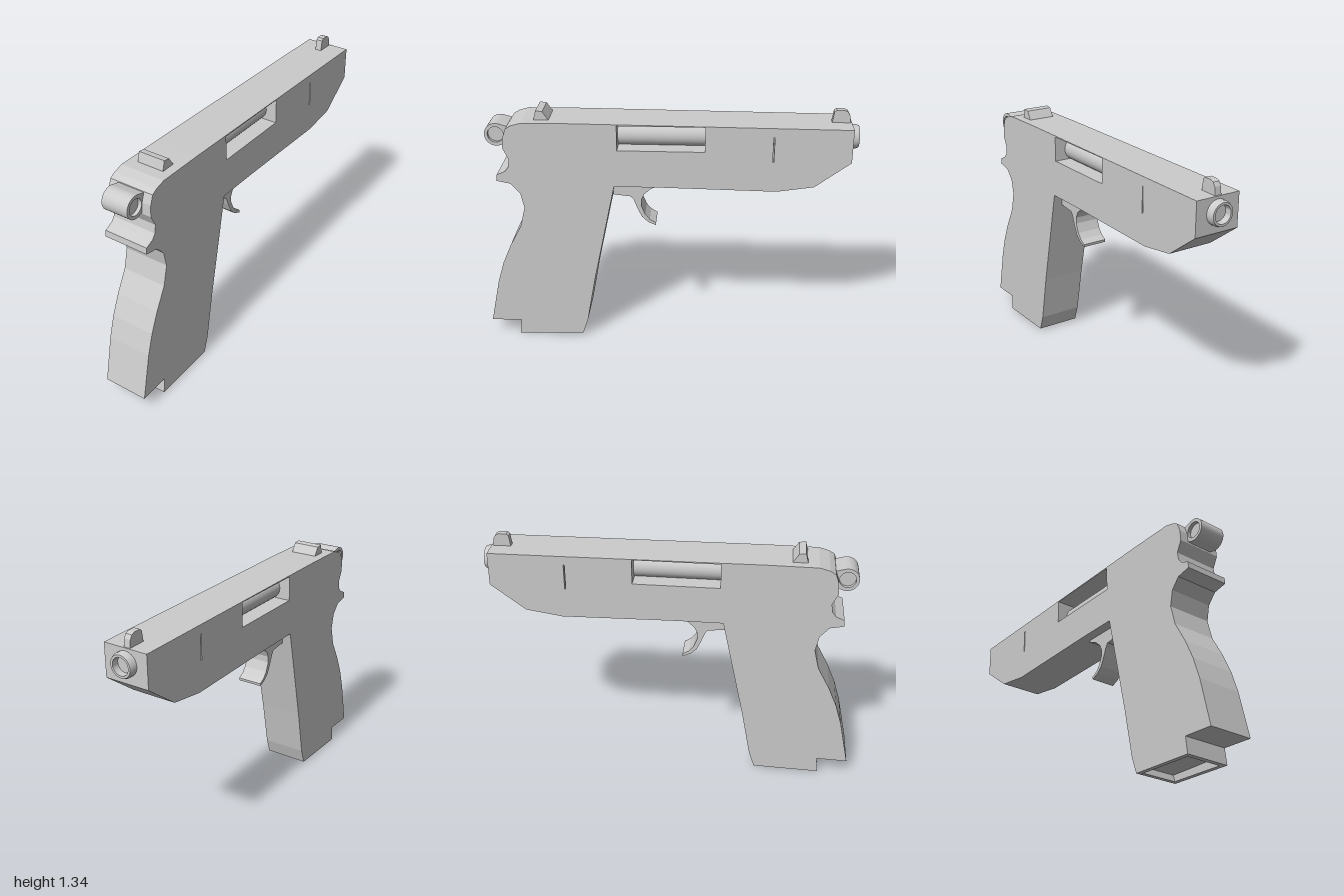
import * as THREE from 'three';
import { toCreasedNormals } from 'three/addons/utils/BufferGeometryUtils.js';

const material = new THREE.MeshStandardMaterial({ color: 0xcccccc });
const vectors = (points) => points.map(([a, b]) => new THREE.Vector2(a, b));

// Side profile drawn as (z, y), extruded across x from x0 to x1.
function slab(name, profile, x0, x1, holes = [], crease = 0) {
  const shape = profile instanceof THREE.Shape ? profile : new THREE.Shape(vectors(profile));
  shape.holes = holes;
  let geometry = new THREE.ExtrudeGeometry(shape, { depth: x1 - x0, bevelEnabled: false, curveSegments: 20 });
  geometry.rotateY(-Math.PI / 2).translate(x1, 0, 0);
  if (crease) geometry = toCreasedNormals(geometry, crease);
  const mesh = new THREE.Mesh(geometry, material);
  mesh.name = name;
  return mesh;
}

const rectangle = (z0, z1, y0, y1) => new THREE.Path(vectors([[z0, y0], [z1, y0], [z1, y1], [z0, y1]]));
const disc = (z, y, r) => new THREE.Shape().absarc(z, y, r, 0, Math.PI * 2);

// Body outline, from the front of the butt round to its rear.
const outline = [
  [0.48, 0.01], [0.45, 0.1], [0.4, 0.37], [0.28, 0.935], [0.03, 0.935],
  [-0.58, 0.925], [-0.775, 0.955], [-0.96, 1.095], [-0.96, 1.275],
  [0.5, 1.285], [0.757, 1.283], [0.81, 1.268], [0.84, 1.25], [0.858, 1.2], [0.862, 1.14],
  [0.833, 1.08], [0.84, 1.035], [0.86, 1.01], [0.905, 0.99], [0.908, 0.955],
  [0.833, 0.94], [0.785, 0.885], [0.768, 0.8], [0.795, 0.69], [0.86, 0.57],
  [0.908, 0.46], [0.945, 0.34], [1, 0.085], [0.833, 0.09], [0.843, 0],
];
const buttRecess = [[0.815, 0.001], [0.815, 0.045], [0.497, 0.045], [0.505, 0.009]];

export function createModel() {
  const model = new THREE.Group();

  // Body: two side plates and a core that leaves the butt recessed
  const body = new THREE.Group();
  body.name = 'body';
  const openings = () => [rectangle(-0.2, 0.26, 1.14, 1.276), rectangle(-0.558, -0.552, 1.09, 1.23)];
  body.add(slab('bodyCore', [...outline, ...buttRecess], -0.1, 0.1, openings()));
  body.add(slab('leftPlate', outline, 0.1, 0.125, openings()));
  body.add(slab('rightPlate', outline, -0.125, -0.1, openings()));
  model.add(body);

  // Barrel, seen through the side opening and at the muzzle
  const barrelProfile = vectors([
    [0.064, -0.28], [0.064, 0.985], [0.058, 1], [0.046, 1], [0.044, 0.965], [0, 0.965],
  ]);
  const barrel = new THREE.Mesh(
    toCreasedNormals(new THREE.LatheGeometry(barrelProfile, 32).rotateX(-Math.PI / 2), 0.5), material);
  barrel.name = 'barrel';
  barrel.position.y = 1.197;
  model.add(barrel);

  // Sights
  model.add(slab('rearSight', [[0.7, 1.27], [0.697, 1.29], [0.685, 1.335], [0.65, 1.33], [0.62, 1.285], [0.62, 1.27]], -0.075, 0.075));
  model.add(slab('frontSight', [
    [-0.855, 1.26], [-0.865, 1.333], [-0.877, 1.343], [-0.915, 1.343],
    [-0.935, 1.335], [-0.947, 1.315], [-0.955, 1.26],
  ], -0.023, 0.013));

  // Trigger
  model.add(slab('trigger', [
    [0.29, 0.95], [0.29, 0.865], [0.195, 0.855], [0.18, 0.835], [0.163, 0.79], [0.137, 0.735], [0.105, 0.705],
    [0.062, 0.685], [0.06, 0.7], [0.095, 0.72], [0.12, 0.75], [0.14, 0.8],
    [0.14, 0.835], [0.125, 0.868], [0.09, 0.9], [0.035, 0.925], [0.035, 0.95],
  ], -0.07, 0.07));

  // Hammer: ringed end with dished sides and a short arm into the body
  const hammerShape = new THREE.Shape();
  hammerShape.absarc(0.903, 1.199, 0.062, -1.9, 1.9);
  hammerShape.lineTo(0.82, 1.24);
  hammerShape.lineTo(0.82, 1.165);
  model.add(slab('hammer', hammerShape, -0.075, 0.075, [disc(0.905, 1.199, 0.043)], 0.5));
  model.add(slab('hammerCentre', disc(0.905, 1.199, 0.045), -0.055, 0.055, [], 0.5));

  return model;
}
